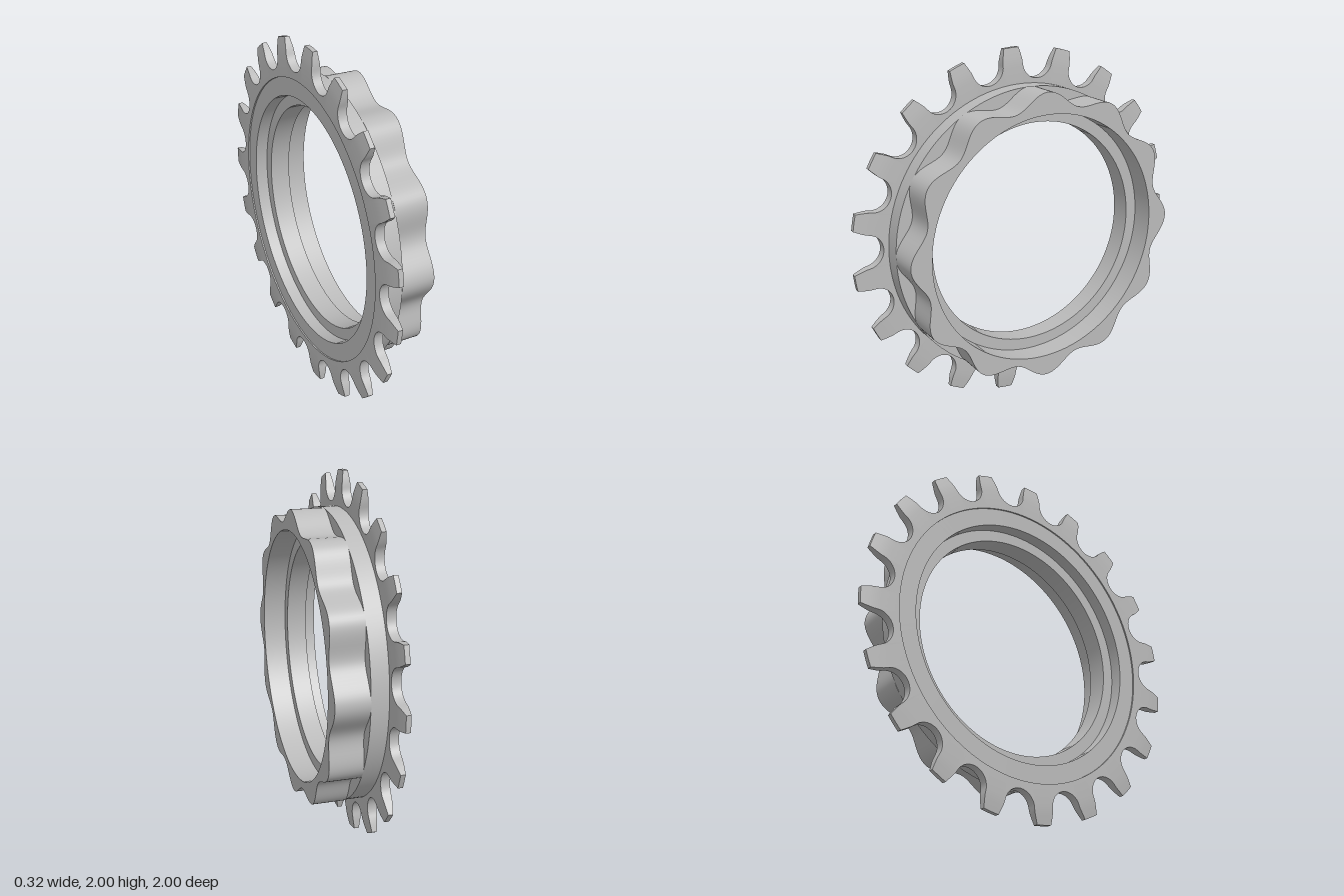
import * as THREE from 'three';
import { toCreasedNormals } from 'three/addons/utils/BufferGeometryUtils.js';

const steel = new THREE.MeshStandardMaterial({ color: 0xbababa });
steel.name = 'grey steel';

// Closed ring around the x axis: section(i) gives [x, radius] points for angles[i]
// (angle measured from the top towards +z), outer side running towards +x.
function ring(name, angles, section, crease = 0.5) {
  const loops = angles.map((a, i) => section(i, a).map(
    ([x, r]) => new THREE.Vector3(x, 1 + r * Math.cos(a), r * Math.sin(a))));
  const pos = [];
  const tri = (a, b, c) => {
    const area = b.clone().sub(a).cross(c.clone().sub(a)).length();
    if (area > 1e-9) for (const p of [a, b, c]) pos.push(p.x, p.y, p.z);
  };
  loops.forEach((loop, i) => {
    const next = loops[(i + 1) % loops.length];
    loop.forEach((p, j) => {
      const k = (j + 1) % loop.length;
      tri(p, next[j], loop[k]);
      tri(next[j], next[k], loop[k]);
    });
  });
  const geo = new THREE.BufferGeometry();
  geo.setAttribute('position', new THREE.Float32BufferAttribute(pos, 3));
  const mesh = new THREE.Mesh(toCreasedNormals(geo, crease), steel);
  mesh.name = name;
  return mesh;
}

const circle = (n) => Array.from({ length: n }, (_, i) => (i / n) * Math.PI * 2);

// Toothed plate: rounded roller seats between tapered, chamfered teeth
function toothedPlate() {
  const teeth = 19, pitch = (Math.PI * 2) / teeth, phase = 0.052;
  const seatR = 0.925, seat = 0.092;
  const cx = seatR * Math.sin(pitch / 2), cy = seatR * Math.cos(pitch / 2);
  const half = [[0.045, 0.999], [0.053, 0.965], [0.059, 0.935]];
  for (let k = 0; k <= 10; k++) {
    const a = Math.PI + (k / 10) * (Math.PI / 2 - pitch / 2);
    half.push([cx + seat * Math.cos(a), cy + seat * Math.sin(a)]);
  }
  const polar = half.map(([t, y]) => [Math.atan2(t, y), Math.hypot(t, y)]);
  const tooth = [
    ...polar.slice(0, -1).reverse().map(([a, r]) => [-a, r]),
    [0, 1],
    ...polar.slice(0, -1),
    [pitch / 2, seatR - seat],
  ];
  const outline = [];
  for (let n = 0; n < teeth; n++) {
    for (const [a, r] of tooth) outline.push([phase + n * pitch + a, r]);
  }
  const mid = -0.138, inner = 0.79;
  const h = (r) => 0.025 - 0.012 * Math.pow(Math.max(0, (r - 0.9) / 0.1), 1.4);
  return ring('toothedPlate', outline.map((o) => o[0]), (i) => {
    const r = outline[i][1];
    const radii = [inner, Math.min(r, 0.9), Math.min(r, 0.95), r];
    return [
      ...radii.map((q) => [mid - h(q), q]),
      ...radii.reverse().map((q) => [mid + h(q), q]),
    ];
  });
}

export function createModel() {
  const model = new THREE.Group();
  model.name = 'splinedSprocket';

  model.add(toothedPlate());

  // Round hub with an inner lip
  const hub = [
    [-0.155, 0.69], [-0.155, 0.806], [-0.02, 0.806], [-0.02, 0.7],
    [0.03, 0.7], [0.03, 0.625], [-0.085, 0.625], [-0.085, 0.69],
  ];
  model.add(ring('hub', circle(144), () => hub));

  // Wavy collar with twelve lobes
  model.add(ring('wavyCollar', circle(288), (i, a) => {
    const r = 0.772 + 0.037 * Math.cos(12 * a);
    return [[-0.021, 0.69], [-0.021, r], [0.16, r], [0.16, 0.69]];
  }));

  return model;
}
